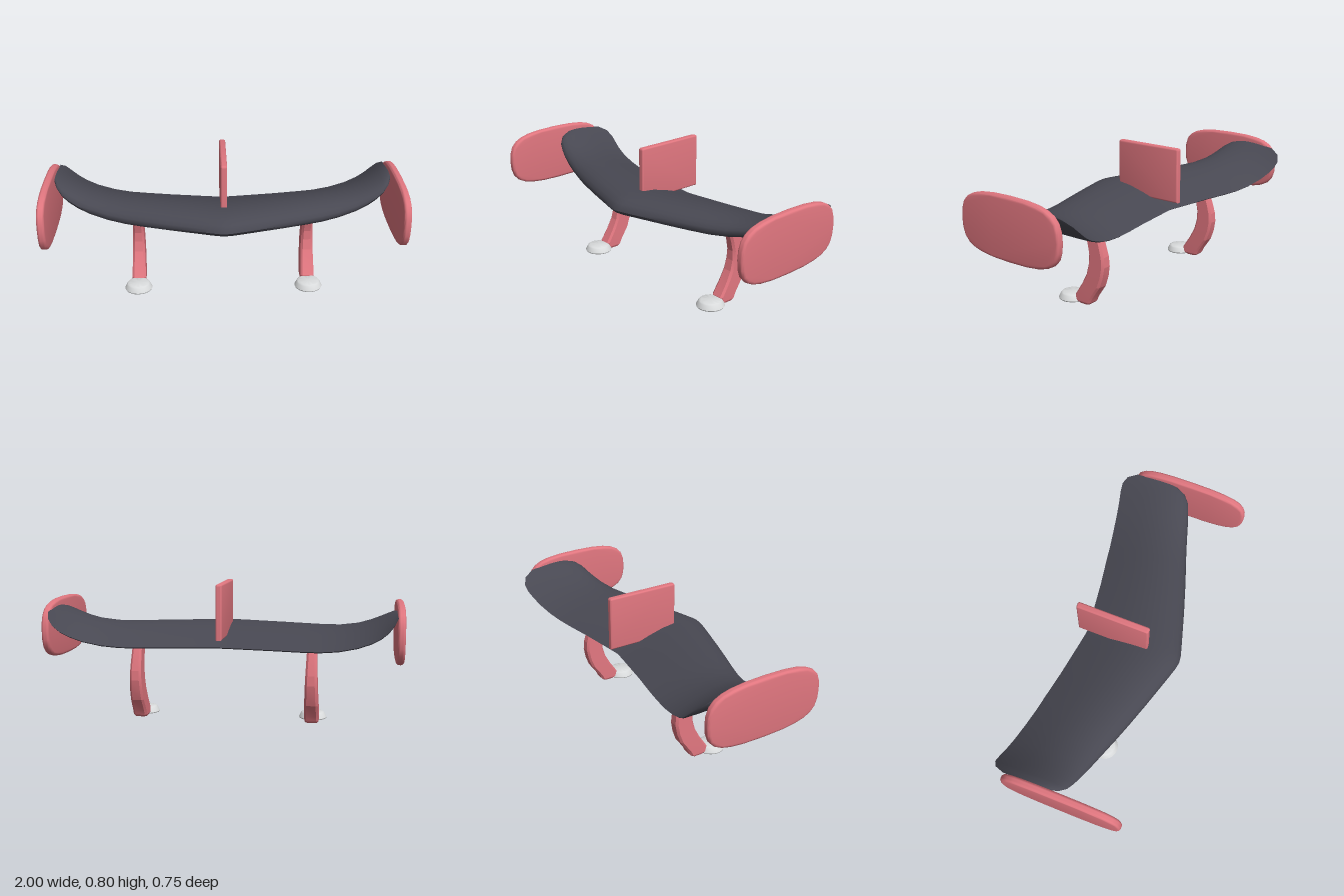
import * as THREE from 'three';
import { toCreasedNormals } from 'three/addons/utils/BufferGeometryUtils.js';

const red = new THREE.MeshStandardMaterial({ color: 0xe0767f });
red.name = 'coral red';
const dark = new THREE.MeshStandardMaterial({ color: 0x484852 });
dark.name = 'charcoal';
const grey = new THREE.MeshStandardMaterial({ color: 0xd9dbdc });
grey.name = 'light grey';

// Skin over closed rings of points, with both ends capped
function loft(rings, crease) {
  const n = rings[0].length, index = [];
  rings.slice(1).forEach((_, i) => {
    for (let j = 0; j < n; j++) {
      const a = i * n + j, b = i * n + (j + 1) % n;
      index.push(a, a + n, b + n, a, b + n, b);
    }
  });
  const last = (rings.length - 1) * n;
  for (let j = 1; j < n - 1; j++) {
    index.push(0, j, j + 1, last, last + j + 1, last + j);
  }
  const geo = new THREE.BufferGeometry();
  geo.setAttribute('position', new THREE.Float32BufferAttribute(rings.flat(2), 3));
  geo.setIndex(index);
  return toCreasedNormals(geo, crease);
}

// Flat plate in the z-y plane with softly bevelled edges, centred on x = 0
function plate(shape, thickness, bevel) {
  const geo = new THREE.ExtrudeGeometry(shape, {
    depth: thickness - 2 * bevel, bevelThickness: bevel, bevelSize: bevel,
    bevelOffset: -bevel, bevelSegments: 3, curveSegments: 4,
  });
  geo.translate(0, 0, bevel - thickness / 2);
  geo.rotateY(-Math.PI / 2);
  return toCreasedNormals(geo, 0.7);
}

function add(parent, name, geo, material) {
  const mesh = new THREE.Mesh(geo, material);
  mesh.name = name;
  parent.add(mesh);
  return mesh;
}

// Swept wing with upturned tips
function wingGeometry() {
  // x, leading z, trailing z, underside y, thickness
  const half = [
    [0, 0.333, -0.23, 0.437, 0.116], [0.04, 0.327, -0.234, 0.437, 0.116],
    [0.1, 0.31, -0.242, 0.437, 0.116], [0.3, 0.25, -0.27, 0.437, 0.116],
    [0.45, 0.202, -0.296, 0.437, 0.116], [0.55, 0.168, -0.312, 0.439, 0.114],
    [0.65, 0.133, -0.33, 0.45, 0.107], [0.75, 0.1, -0.348, 0.473, 0.1],
    [0.82, 0.077, -0.362, 0.5, 0.096], [0.87, 0.058, -0.373, 0.528, 0.09],
    [0.91, 0.04, -0.376, 0.562, 0.075], [0.94, 0.008, -0.355, 0.6, 0.051],
    [0.96, -0.05, -0.3, 0.633, 0.022],
  ];
  const stations = [...half.slice(1).reverse().map(([x, ...r]) => [-x, ...r]), ...half];
  // chord fraction, thickness fraction
  const foil = [
    [0, 0.4], [0.01, 0.56], [0.04, 0.72], [0.1, 0.88], [0.2, 0.98], [0.32, 1],
    [0.48, 0.9], [0.65, 0.68], [0.82, 0.4], [0.95, 0.17], [1, 0.08],
    [0.98, 0.02], [0.8, 0], [0.5, 0], [0.25, 0.03], [0.1, 0.1], [0.03, 0.22],
  ];
  return loft(stations.map(([x, zf, zb, y, t]) =>
    foil.map(([u, v]) => [x, y + v * t, zf + u * (zb - zf)])), 0.9);
}

// Curved leg: bevelled rectangular section, tapering upward
function legGeometry() {
  // y, front z, back z, half width
  const levels = [
    [0, 0, -0.068, 0.034], [0.012, 0.022, -0.08, 0.04], [0.04, 0.026, -0.093, 0.04],
    [0.115, -0.023, -0.145, 0.038], [0.175, -0.054, -0.167, 0.036],
    [0.235, -0.069, -0.178, 0.034], [0.29, -0.071, -0.174, 0.032],
    [0.35, -0.058, -0.157, 0.03], [0.41, -0.038, -0.134, 0.028],
    [0.47, -0.015, -0.105, 0.026],
  ];
  return loft(levels.map(([y, f, b, w]) => {
    const c = 0.012;
    return [[w, b + c], [w, f - c], [w - c, f], [c - w, f],
      [-w, f - c], [-w, b + c], [c - w, b], [w - c, b]].map(([x, z]) => [x, y, z]);
  }), 0.2);
}

export function createModel() {
  const model = new THREE.Group();
  model.name = 'wing stand';

  add(model, 'wing', wingGeometry(), dark);

  // Centre fin
  const fin = new THREE.Shape();
  const r = 0.014, z0 = -0.276, z1 = 0.142, y0 = 0.49, y1 = 0.798;
  fin.moveTo(z0, y0);
  fin.lineTo(z1, y0);
  fin.lineTo(z1, y1 - r);
  fin.quadraticCurveTo(z1, y1, z1 - r, y1);
  fin.lineTo(z0 + r, y1);
  fin.quadraticCurveTo(z0, y1, z0, y1 - r);
  add(model, 'centreFin', plate(fin, 0.036, 0.01), red);

  // Rounded end plate outline, mirrored from one quarter
  const quarter = [[0.344, 0], [0.34, 0.05], [0.325, 0.093], [0.296, 0.124],
    [0.255, 0.145], [0.2, 0.159], [0.12, 0.168], [0, 0.171]];
  const upper = [...quarter, ...quarter.slice(0, -1).reverse().map(([z, y]) => [-z, y])];
  const outline = [...upper, ...upper.slice(1, -1).reverse().map(([z, y]) => [z, -y])];
  const endShape = new THREE.Shape(outline.map(([z, y]) => new THREE.Vector2(z, y)));
  const endGeo = plate(endShape, 0.042, 0.015);

  const legGeo = legGeometry();
  const footGeo = toCreasedNormals(new THREE.LatheGeometry(
    [[0, 0], [0.077, 0], [0.08, 0.006], [0.068, 0.03], [0.062, 0.036], [0.053, 0.039], [0, 0.039]]
      .map(([x, y]) => new THREE.Vector2(x, y)), 24), 0.8);

  for (const [side, s] of [['left', 1], ['right', -1]]) {
    add(model, side + 'EndPlate', endGeo, red).position.set(s * 0.979, 0.525, 0.03);
    const leg = new THREE.Group();
    leg.name = side + 'LegAssembly';
    leg.position.x = s * 0.5;
    add(leg, side + 'Leg', legGeo, red);
    add(leg, side + 'Foot', footGeo, grey).position.z = 0.071;
    model.add(leg);
  }
  return model;
}
